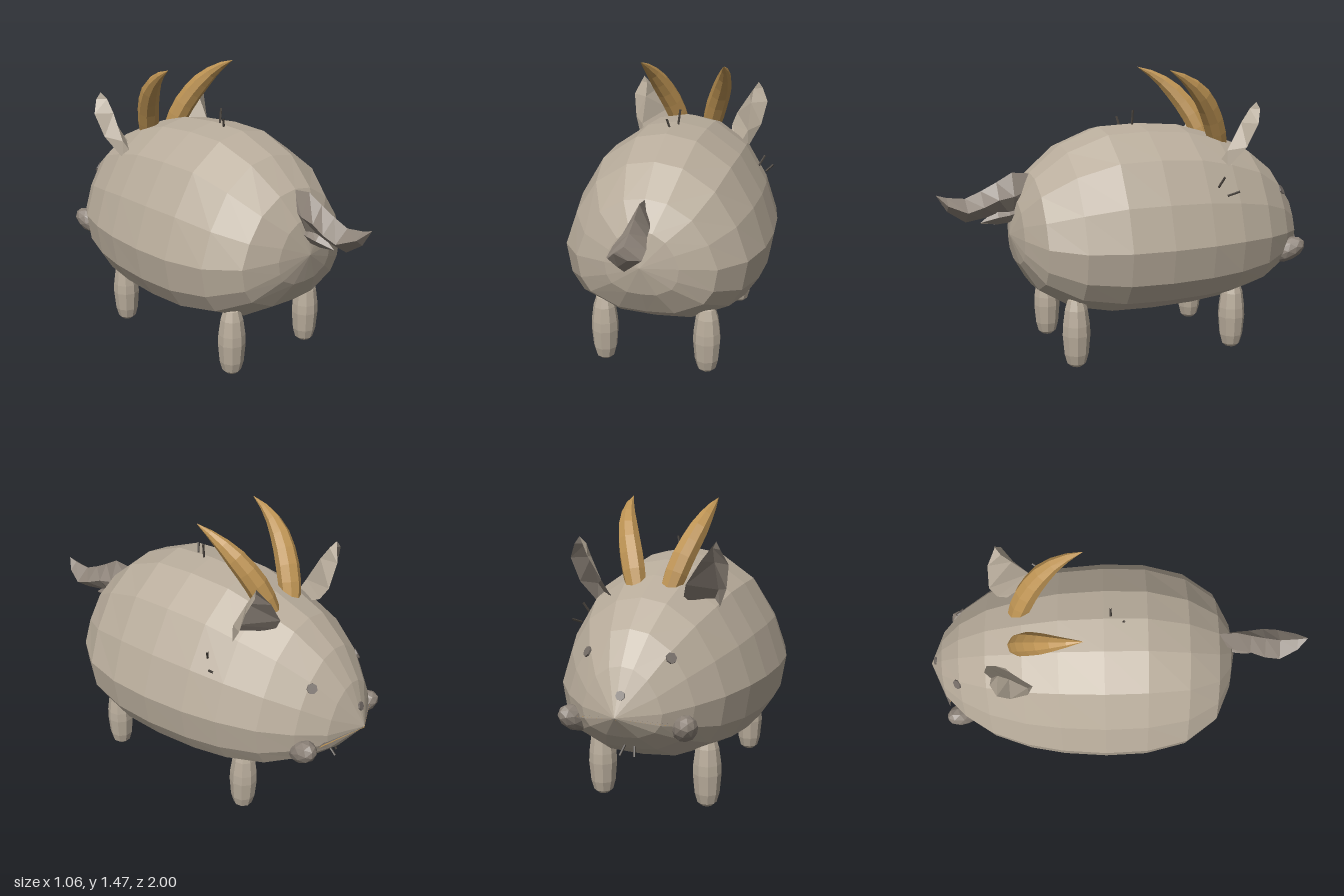
import * as THREE from 'three';

const flat = (name, color, extra = {}) =>
  Object.assign(new THREE.MeshStandardMaterial({ color, flatShading: true, ...extra }), { name });

// Skin a row of point rings; closed rings run counter-clockwise about the advance
function loft(rings, closed = true, flip = false) {
  const out = [];
  const tri = (a, b, c) => out.push(...a, ...(flip ? c : b), ...(flip ? b : c));
  for (let i = 0; i < rings.length - 1; i++) {
    const n = rings[i].length;
    for (let j = 0; j < (closed ? n : n - 1); j++) {
      const k = (j + 1) % n;
      tri(rings[i][j], rings[i][k], rings[i + 1][k]);
      tri(rings[i][j], rings[i + 1][k], rings[i + 1][j]);
    }
  }
  const g = new THREE.BufferGeometry();
  g.setAttribute('position', new THREE.Float32BufferAttribute(out, 3));
  g.computeVertexNormals();
  return g;
}

// Mirror across x and restore the winding
function mirrored(geo) {
  const g = geo.index ? geo.toNonIndexed() : geo.clone();
  const p = g.attributes.position, b = new THREE.Vector3(), c = new THREE.Vector3();
  g.scale(-1, 1, 1);
  for (let i = 0; i < p.count; i += 3) {
    b.fromBufferAttribute(p, i + 1);
    c.fromBufferAttribute(p, i + 2);
    p.setXYZ(i + 1, c.x, c.y, c.z);
    p.setXYZ(i + 2, b.x, b.y, b.z);
  }
  g.computeVertexNormals();
  return g;
}

export function createModel() {
  const model = new THREE.Group();
  model.name = 'hornedBeast';
  const hide = flat('hide', 0xb8ac9b);
  const darkHide = flat('darkHide', 0x8c8278);
  const horn = flat('horn', 0xbd9353);
  const hornTwoSided = flat('lip', 0xbd9353, { side: THREE.DoubleSide });
  const bristle = flat('bristle', 0x4a443e);
  const eyeGrey = flat('eyeGrey', 0x746c66);

  const add = (name, geo, mat) => {
    const m = new THREE.Mesh(geo, mat);
    m.name = name;
    model.add(m);
    return m;
  };
  const addPair = (name, geo, mat) => {
    add(name + 'Left', geo, mat);
    add(name + 'Right', mirrored(geo), mat);
  };

  // Body: sixteen-sided sections from snout (-z) to rump (+z)
  const half = [[0, -1], [.4, -.97], [.81, -.716], [.945, -.44], [1, 0], [.87, .37], [.64, .73], [.3, .95], [0, 1]];
  const section = half.concat(half.slice(1, -1).reverse().map(([x, y]) => [-x, y]));
  // z, half width, top, bottom, height of the widest line
  const bodyRows = [
    [-1, 0, .575, .575, .575], [-.91, .19, .785, .46, .585], [-.8, .305, .93, .37, .6],
    [-.65, .405, 1.045, .29, .61], [-.46, .475, 1.12, .25, .617], [-.28, .51, 1.17, .235, .617],
    [-.055, .528, 1.185, .23, .617], [.16, .52, 1.175, .235, .617], [.37, .47, 1.09, .275, .62],
    [.53, .355, .955, .37, .63], [.605, .185, .82, .495, .645], [.64, 0, .645, .645, .645]];
  add('body', loft(bodyRows.map(([z, w, top, bottom, mid]) =>
    section.map(([x, y]) => [x * w, mid + y * (y > 0 ? top - mid : mid - bottom), z]))), hide);

  // Legs: rounded octagonal posts
  const legProfile = [[0, 0], [.028, .003], [.048, .02], [.062, .07], [.071, .17], [.069, .22], [.058, .3], [.042, .35], [0, .37]]
    .map(([r, y]) => new THREE.Vector2(r, y));
  for (const [name, z] of [['frontLeg', -.49], ['backLeg', .375]]) {
    addPair(name, new THREE.LatheGeometry(legProfile, 9).translate(.272, 0, z), hide);
  }

  // Horns: tapered tubes sweeping up and back
  const path = new THREE.CatmullRomCurve3([
    [.085, 1.06, -.485], [.125, 1.19, -.435], [.175, 1.32, -.35], [.207, 1.41, -.25], [.222, 1.465, -.145]]
    .map(p => new THREE.Vector3(...p)));
  const hornRadii = [.05, .057, .058, .055, .049, .036, .02, .001];
  const steps = hornRadii.length - 1, frames = path.computeFrenetFrames(steps);
  addPair('horn', loft(hornRadii.map((r, i) => {
    const c = path.getPointAt(i / steps);
    return Array.from({ length: 8 }, (_, j) => {
      const a = j / 8 * Math.PI * 2;
      return c.clone().addScaledVector(frames.normals[i], r * Math.cos(a))
        .addScaledVector(frames.binormals[i], r * Math.sin(a)).toArray();
    });
  })), horn);

  // Ears: cupped leaves, each row is outer edge, spine, inner edge
  const earRows = [
    [[.31, .97, -.43], [.26, .97, -.39], [.2, .98, -.46]],
    [[.365, 1.08, -.51], [.305, 1.06, -.43], [.185, 1.05, -.59]],
    [[.388, 1.2, -.56], [.305, 1.2, -.505], [.205, 1.11, -.625]],
    [[.355, 1.27, -.585], [.31, 1.27, -.55], [.275, 1.22, -.62]],
    [[.333, 1.305, -.575], [.333, 1.305, -.575], [.333, 1.305, -.575]]];
  addPair('earBack', loft(earRows, false, true), hide);
  addPair('earInside', loft(earRows, false), darkHide);

  // Tail: diamond sections (z, top, bottom, half width) with a small tuft below
  const diamond = ([z, top, bottom, w]) => {
    const mid = (top + bottom) / 2;
    return [[0, bottom, z], [w, mid, z], [0, top, z], [-w, mid, z]];
  };
  add('tail', loft([[.52, .95, .8, .02], [.62, .96, .73, .05], [.7, .915, .75, .06], [.78, .875, .735, .08],
    [.86, .842, .722, .082], [.95, .852, .782, .045], [1, .867, .865, 0]].map(diamond)), darkHide);
  add('tailTuft', loft([[.58, .78, .74, .02], [.64, .79, .705, .032], [.7, .78, .7, .034],
    [.785, .715, .71, 0]].map(diamond)), darkHide);

  // Cheek lumps beside the mouth
  addPair('cheek', new THREE.IcosahedronGeometry(1, 1).scale(.06, .06, .098)
    .rotateX(.5).rotateY(-.45).translate(.265, .5, -.825), darkHide);

  // Mouth: thin dark lip over a horn-coloured underside
  const lip = y => loft([[[-.235, .535 + y, -.895], [0, .54 + y, -.9], [.235, .535 + y, -.895]],
    [[0, .572 + y, -1], [0, .572 + y, -1], [0, .572 + y, -1]]], false);
  add('upperLip', lip(.004), flat('lipTop', 0x746c66, { side: THREE.DoubleSide }));
  add('lowerLip', lip(-.004), hornTwoSided);

  // Eyes and nose patch: thin discs lying on the hide
  const disc = (r, pos, normal) => new THREE.CylinderGeometry(r, r, .009, 7)
    .applyQuaternion(new THREE.Quaternion().setFromUnitVectors(
      new THREE.Vector3(0, 1, 0), new THREE.Vector3(...normal).normalize()))
    .translate(...pos);
  addPair('eye', disc(.026, [.2, .815, -.815], [.6, .5, -.65]), eyeGrey);
  add('nosePatch', disc(.022, [-.015, .668, -.962], [-.15, .4, -.9]), eyeGrey);

  // Bristles on the back, flank and chin
  const bristles = [
    [[-.012, 1.17, .04], [-.027, 1.222, .05]], [[.015, 1.17, -.02], [.026, 1.257, -.022]],
    [[.385, .885, -.343], [.417, .945, -.365]], [[.42, .848, -.38], [.45, .872, -.433]],
    [[-.02, .4, -.815], [-.03, .345, -.842]], [[.02, .4, -.815], [.03, .355, -.872]]];
  for (const [from, to] of bristles) {
    const line = new THREE.LineCurve3(new THREE.Vector3(...from), new THREE.Vector3(...to));
    add('bristle', new THREE.TubeGeometry(line, 1, .006, 5), bristle);
  }
  return model;
}
